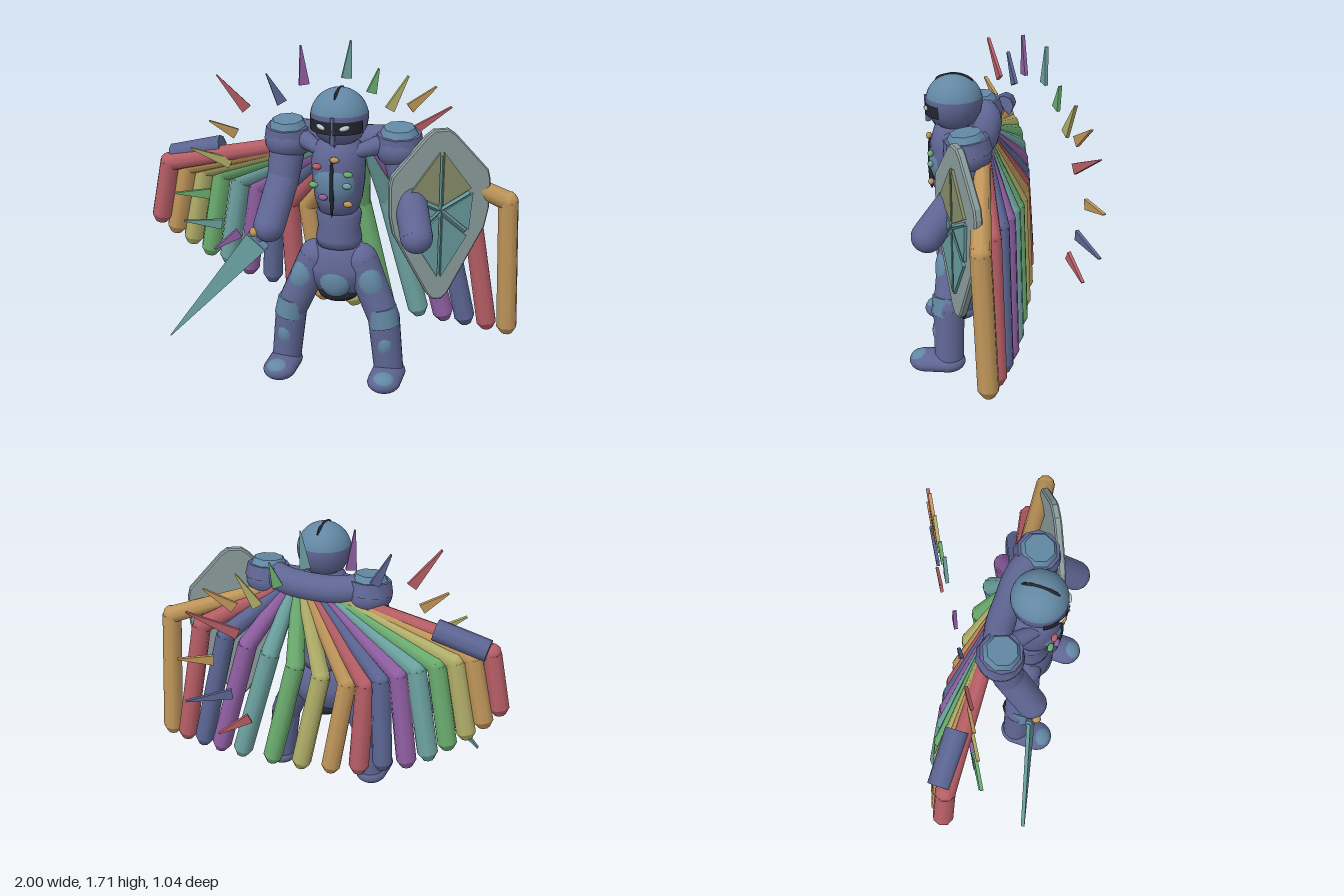
import * as THREE from 'three';

const V = (x, y, z) => new THREE.Vector3(x, y, z);
const mat = (color, flatShading = false) => new THREE.MeshStandardMaterial({ color, flatShading });
const body = mat(0x5f6694), plate = mat(0x6388a4), dark = mat(0x22262f), pale = mat(0xc4ccd0);
const steel = mat(0x679a9c, true), rim = mat(0x8b9c9c, true), olive = mat(0x868c69, true);
const [red, orange, yellow, green, teal, purple, blue] =
  [0xb75e66, 0xc0965a, 0xb2b06a, 0x6cae70, 0x6da3a1, 0x905fa3, 0x5c6694].map(c => mat(c));
const cycle = [red, orange, yellow, green, teal, purple, blue];
const poly = pts => new THREE.Shape(pts.map(p => new THREE.Vector2(...p)));

function add(parent, name, geo, material, pos = V(0, 0, 0)) {
  const m = new THREE.Mesh(geo, material);
  m.name = name;
  m.position.copy(pos);
  parent.add(m);
  return m;
}

function ball(parent, name, material, pos, sx, sy, sz, seg = 20) {
  const m = add(parent, name, new THREE.SphereGeometry(1, seg, Math.max(6, seg * 0.6)), material, pos);
  m.scale.set(sx, sy, sz);
  return m;
}

// Tapered rod from a to b
function rod(parent, name, material, a, b, ra, rb, seg = 20) {
  const d = b.clone().sub(a);
  const m = add(parent, name, new THREE.CylinderGeometry(rb, ra, d.length(), seg), material,
    a.clone().lerp(b, 0.5));
  m.quaternion.setFromUnitVectors(V(0, 1, 0), d.normalize());
  return m;
}

// Flat pointed plate from a to b, of even thickness along the given normal
function blade(parent, name, material, a, b, halfWidth, normal, depth) {
  const length = a.distanceTo(b), up = b.clone().sub(a).normalize();
  const side = up.clone().cross(normal).normalize();
  const shape = poly([[-halfWidth, 0], [halfWidth, 0], [0.003, length], [-0.003, length]]);
  const geo = new THREE.ExtrudeGeometry(shape, { depth, bevelEnabled: false }).translate(0, 0, -depth / 2);
  const m = add(parent, name, geo, material, a);
  m.quaternion.setFromRotationMatrix(new THREE.Matrix4().makeBasis(side, up, side.clone().cross(up)));
}

// Rod with rounded joints at both ends
function limb(parent, name, material, a, b, ra, rb) {
  rod(parent, name, material, a, b, ra, rb);
  ball(parent, name + 'Start', material, a, ra, ra, ra);
  ball(parent, name + 'End', material, b, rb, rb, rb);
}

function lathe(parent, name, material, pts, z, sz) {
  const m = add(parent, name, new THREE.LatheGeometry(pts.map(p => new THREE.Vector2(...p)), 28), material, V(0, 0, z));
  m.scale.z = sz;
}

function buildHead(g) {
  const head = new THREE.Group();
  head.name = 'head';
  head.position.set(0.006, 1.422, 0.268);
  g.add(head);
  add(head, 'helmetDome', new THREE.SphereGeometry(0.146, 28, 10, 0, Math.PI * 2, 0, 1.4), plate);
  lathe(head, 'helmetLower', body, [[0, -0.13], [0.07, -0.13], [0.11, -0.1], [0.137, -0.05], [0.146, 0], [0.144, 0.03]], 0, 1);
  add(head, 'visor', new THREE.CylinderGeometry(0.147, 0.146, 0.065, 20, 1, true, -1.15, 2.3), dark, V(0, -0.025, 0.003));
  for (const s of [-1, 1]) {
    const eye = ball(head, 'eye', pale, V(s * 0.06, -0.022, 0.136), 0.027, 0.013, 0.01, 12);
    eye.rotation.set(0, s * 0.4, s * 0.25);
  }
  rod(head, 'noseGuard', body, V(0, -0.11, 0.135), V(0, 0.03, 0.145), 0.014, 0.01, 4);
  const chin = add(head, 'faceBeak', new THREE.ConeGeometry(0.06, 0.1, 4), body, V(0, -0.085, 0.1));
  chin.rotation.x = Math.PI;
  ball(head, 'crest', dark, V(0, 0.108, 0), 0.016, 0.042, 0.1, 14);
}

function buildTorso(g) {
  lathe(g, 'chest', body, [[0, 0.92], [0.1, 0.93], [0.122, 1.0], [0.135, 1.1], [0.138, 1.2], [0.115, 1.28], [0.06, 1.32], [0, 1.33]], 0.26, 1);
  ball(g, 'breastplate', plate, V(0, 1.11, 0.285), 0.122, 0.165, 0.122);
  ball(g, 'breastplateSlit', dark, V(0, 1.09, 0.395), 0.011, 0.16, 0.018, 12);
  lathe(g, 'waist', body, [[0, 0.74], [0.115, 0.74], [0.12, 0.78], [0.108, 0.84], [0.118, 0.91], [0.1, 0.95], [0, 0.96]], 0.25, 0.92);
  lathe(g, 'hips', body, [[0, 0.44], [0.1, 0.46], [0.17, 0.55], [0.19, 0.62], [0.15, 0.71], [0.11, 0.77], [0, 0.77]], 0.25, 0.66);
  ball(g, 'loinPlate', plate, V(0, 0.57, 0.32), 0.09, 0.105, 0.06);
  ball(g, 'loinBase', dark, V(0, 0.475, 0.25), 0.11, 0.05, 0.1);
  // Coloured studs on the breastplate
  const studs = [[-0.08, 1.19, red], [0.015, 1.235, orange], [0.08, 1.16, green], [-0.1, 1.09, green],
    [-0.045, 1.035, purple], [0.075, 1.1, teal], [0.08, 1.005, orange]];
  studs.forEach(([x, y, m]) => ball(g, 'stud', m, V(x, y, 0.402 - x * x * 2.5), 0.025, 0.016, 0.016, 8));
  // Yoke behind the shoulders
  const yoke = new THREE.CatmullRomCurve3([V(-0.29, 1.29, 0.16), V(-0.15, 1.27, 0.115), V(0, 1.26, 0.11), V(0.15, 1.27, 0.115), V(0.29, 1.29, 0.16)]);
  add(g, 'shoulderYoke', new THREE.TubeGeometry(yoke, 24, 0.075, 16), body);
  for (const s of [-1, 1]) {
    rod(g, 'collarBone', body, V(s * 0.05, 1.24, 0.33), V(s * 0.2, 1.27, 0.2), 0.025, 0.05, 10);
  }
}

function buildLeg(g, s) {
  const leg = new THREE.Group();
  leg.name = s > 0 ? 'leftLeg' : 'rightLeg';
  g.add(leg);
  const hip = V(s * 0.12, 0.66, 0.26), knee = V(s * 0.25, 0.36, 0.285), ankle = V(s * 0.28, 0.07, 0.285);
  limb(leg, 'thigh', body, hip, knee, 0.09, 0.083);
  limb(leg, 'shin', body, knee, ankle, 0.083, 0.077);
  const thighPlate = ball(leg, 'thighPlate', plate, V(s * 0.175, 0.56, 0.295), 0.072, 0.125, 0.068);
  thighPlate.rotation.z = s * 0.38;
  rod(leg, 'kneePlate', plate, V(s * 0.257, 0.325, 0.297), V(s * 0.238, 0.425, 0.294), 0.081, 0.078, 10);
  ball(leg, 'shinPlate', plate, V(s * 0.268, 0.23, 0.305), 0.055, 0.09, 0.068);
  ball(leg, 'kneeBack', dark, V(s * 0.245, 0.345, 0.235), 0.055, 0.065, 0.05, 10);
  const toe = V(s * 0.285, 0.055, 0.41), heel = V(s * 0.28, 0.055, 0.285);
  const foot = add(leg, 'foot', new THREE.CapsuleGeometry(0.087, toe.distanceTo(heel), 8, 18), body, toe.clone().lerp(heel, 0.5));
  foot.rotation.x = Math.PI / 2;
  foot.scale.z = 0.63;
  ball(leg, 'toeCap', plate, V(s * 0.285, 0.065, 0.43), 0.067, 0.047, 0.063);
}

function buildArm(g, s) {
  const arm = new THREE.Group();
  arm.name = s > 0 ? 'leftArm' : 'rightArm';
  g.add(arm);
  const top = V(s * 0.29, 1.25, 0.17);
  const elbow = s > 0 ? V(0.35, 1.05, 0.21) : V(-0.305, 1.06, 0.22);
  const hand = s > 0 ? V(0.425, 0.855, 0.36) : V(-0.34, 0.84, 0.365);
  ball(arm, 'shoulder', body, top, 0.122, 0.1, 0.122);
  limb(arm, 'upperArm', body, top, elbow, 0.095, 0.083);
  limb(arm, 'forearm', body, elbow, hand, 0.083, 0.082);
  const pad = new THREE.Group();
  pad.name = 'shoulderPad';
  pad.position.set(s * 0.29, 1.295, 0.17);
  pad.rotation.x = 0.12;
  arm.add(pad);
  add(pad, 'shoulderDrum', new THREE.CylinderGeometry(0.112, 0.125, 0.07, 10), body);
  add(pad, 'shoulderCap', new THREE.CylinderGeometry(0.08, 0.1, 0.035, 8), plate, V(0, 0.05, 0));
}

// Fan of bent feathers, coloured in a repeating cycle
function buildCape(g) {
  const bends = [[-0.89, 1.055], [-0.8, 1.03], [-0.72, 1.01], [-0.63, 0.985], [-0.53, 0.95], [-0.44, 0.91], [-0.35, 0.87], [-0.27, 0.83],
    [-0.17, 0.82], [-0.02, 0.83], [0.13, 0.86], [0.28, 0.9], [0.42, 0.92], [0.56, 0.94], [0.72, 0.96], [0.92, 0.975]];
  const tips = [[-0.95, 0.75], [-0.88, 0.68], [-0.8, 0.61], [-0.71, 0.54], [-0.62, 0.48], [-0.51, 0.42], [-0.38, 0.38], [-0.25, 0.33],
    [-0.09, 0.3], [0.085, 0.285], [0.26, 0.275], [0.45, 0.27], [0.59, 0.265], [0.71, 0.265], [0.83, 0.265], [0.942, 0.265]];
  bends.forEach(([bx, by], i) => {
    const m = cycle[i % 7], f = new THREE.Group(), z = -0.052 + 0.0024 * (i - 8.5) ** 2;
    f.name = 'feather';
    g.add(f);
    const root = V(-0.16 + i * 0.033, 1.22, 0.1), bend = V(bx, by, z), tip = V(tips[i][0], tips[i][1], z - (i < 4 ? 0 : 0.018 + i * 0.001));
    const end = tip.clone().add(tip.clone().sub(bend).setLength(0.04));
    rod(f, 'featherQuill', m, root, bend, 0.038, 0.052, 8);
    ball(f, 'featherBend', m, bend, 0.053, 0.053, 0.053, 8);
    rod(f, 'featherVane', m, bend, tip, 0.053, 0.055, 8);
    rod(f, 'featherTip', m, tip, end, 0.055, 0.03, 8);
  });
  // Cuff over the raised outer feather
  rod(g, 'featherCuff', blue, V(-0.88, 1.085, 0.085), V(-0.6, 1.155, 0.08), 0.06, 0.06, 8);
}

// Ring of floating spikes in one slanted vertical plane: base x, y then tip x, y
function buildHalo(g) {
  const spikes = [
    [-0.51, 0.68, -0.63, 0.6, purple], [-0.59, 0.74, -0.765, 0.78, teal], [-0.64, 0.92, -0.8, 0.94, green],
    [-0.54, 1.08, -0.72, 1.18, yellow], [-0.51, 1.24, -0.63, 1.32, orange], [-0.46, 1.37, -0.59, 1.56, red],
    [-0.295, 1.39, -0.365, 1.55, blue], [-0.19, 1.48, -0.205, 1.69, purple], [0.01, 1.5, 0.03, 1.7, teal],
    [0.13, 1.41, 0.165, 1.54, green], [0.22, 1.31, 0.31, 1.49, yellow], [0.32, 1.31, 0.45, 1.42, orange],
    [0.31, 1.16, 0.53, 1.3, red], [0.42, 1.02, 0.58, 1.04, orange], [0.345, 0.815, 0.555, 0.79, blue], [0.27, 0.66, 0.415, 0.58, red]];
  const zAt = x => -0.178 - 0.572 * x;
  for (const [xb, yb, xt, yt, m] of spikes) {
    blade(g, 'haloSpike', m, V(xb, yb, zAt(xb)), V(xt, yt, zAt(xt)), 0.028, V(0.497, 0, 0.868), 0.018);
  }
}

function buildShield(g) {
  const shield = new THREE.Group();
  shield.name = 'shield';
  shield.position.set(0.592, 0.925, 0.2);
  shield.rotation.y = 0.5;
  g.add(shield);
  const half = [[0.035, 0.44], [0.07, 0.415], [0.245, 0.22], [0.257, 0.17], [0.255, 0.02], [0.235, -0.08], [0.05, -0.425], [0.02, -0.455]];
  const outline = [...half, ...half.slice().reverse().map(([x, y]) => [-x, y])];
  add(shield, 'shieldBoard', new THREE.ExtrudeGeometry(poly(outline), { depth: 0.026, bevelSize: 0.008, bevelThickness: 0.008, bevelSegments: 1 }), rim, V(0, 0, -0.02));
  // Raised triangular panels around the hub, with bars between them
  const hub = [0, 0.03];
  const corners = [[0, 0.37], [0.18, 0.13], [0.16, -0.11], [0, -0.37], [-0.16, -0.11], [-0.18, 0.13]];
  corners.forEach((a, i) => {
    const b = corners[(i + 1) % 6];
    const cx = (a[0] + b[0] + hub[0]) / 3, cy = (a[1] + b[1] + hub[1]) / 3;
    const tri = [hub, a, b].map(([x, y]) => [cx + (x - cx) * 0.82, cy + (y - cy) * 0.82]);
    add(shield, 'shieldPanel', new THREE.ExtrudeGeometry(poly(tri), { depth: 0.014, bevelEnabled: false }), i === 0 || i === 5 ? olive : steel, V(0, 0, 0.014));
    rod(shield, 'shieldBar', steel, V(hub[0], hub[1], 0.015), V(a[0] * 0.85, a[1] * 0.85, 0.015), 0.012, 0.012, 4);
  });
}

function buildSword(g) {
  const sword = new THREE.Group();
  sword.name = 'sword';
  g.add(sword);
  const guard = V(-0.31, 0.765, 0.385), tip = V(-0.765, 0.225, 0.51);
  const dir = tip.clone().sub(guard), side = V(0, 0, 1).cross(dir).normalize();
  blade(sword, 'blade', steel, guard, tip, 0.065, V(0, 0, 1), 0.02);
  rod(sword, 'grip', body, V(-0.2, 0.89, 0.365), guard, 0.022, 0.022, 8);
  rod(sword, 'crossGuard', plate, guard.clone().addScaledVector(side, -0.06), guard.clone().addScaledVector(side, 0.06), 0.02, 0.02, 6);
  ball(sword, 'guardGem', orange, V(-0.32, 0.82, 0.415), 0.025, 0.025, 0.025, 8);
}

export function createModel() {
  const model = new THREE.Group();
  model.name = 'wingedKnight';
  const figure = new THREE.Group();
  figure.name = 'figure';
  figure.position.x = 0.085;
  model.add(figure);
  buildHead(figure);
  buildTorso(figure);
  for (const s of [-1, 1]) {
    buildLeg(figure, s);
    buildArm(figure, s);
  }
  buildCape(model);
  buildHalo(model);
  buildShield(model);
  buildSword(model);
  return model;
}
